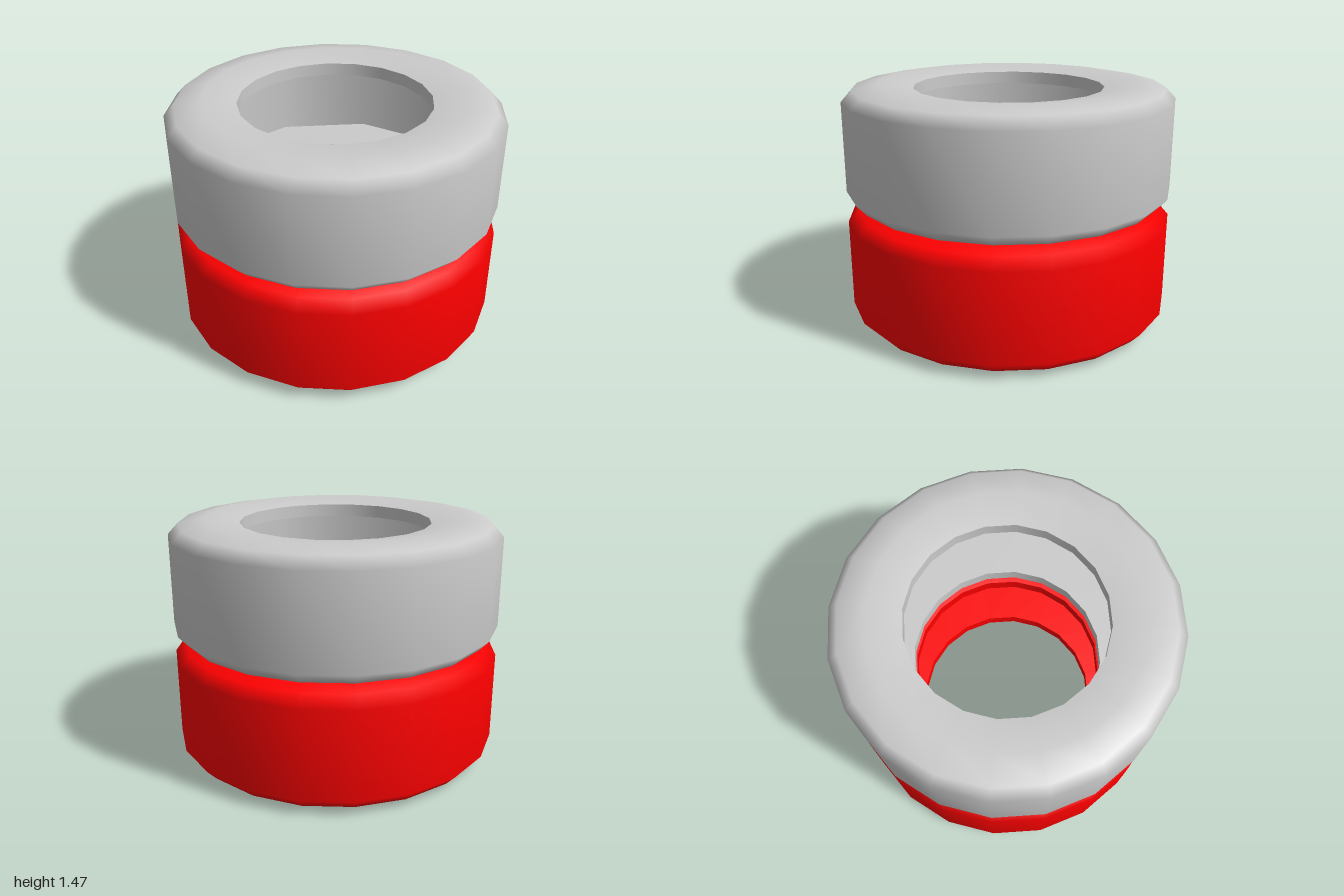
import * as THREE from 'three';

const SEGMENTS = 20;
const HEIGHT = 0.7325;   // height of one tyre
const BORE = 0.577;      // radius of the central hole
const CAVITY = 0.92;     // radius of the hollow inside
const RIM = 0.033;       // how far the bead is set in from the sidewall
const WALL = 0.11;       // depth of the bead and sidewall

function lathe(points, segments = SEGMENTS) {
  return new THREE.LatheGeometry(points.map(([r, y]) => new THREE.Vector2(r, y)), segments);
}

// Flat inner sidewall: 20 sides at the bore, 10 sides at the cavity wall
function innerSidewall(y, facesUp) {
  const ring = [[BORE, y], [CAVITY, y]];
  const geometry = lathe(facesUp ? ring : ring.reverse());
  const p = geometry.attributes.position;
  const chord = Math.cos(Math.PI / 10);
  for (let i = 0; i < p.count; i++) {
    const column = Math.floor(i / 2);
    const isOuter = Math.hypot(p.getX(i), p.getZ(i)) > 0.7;
    if (isOuter && column % 2) p.setXYZ(i, p.getX(i) * chord, y, p.getZ(i) * chord);
    geometry.attributes.normal.setXYZ(i, 0, facesUp ? 1 : -1, 0);
  }
  return geometry;
}

function createTyre(name, color) {
  const tyre = new THREE.Group();
  tyre.name = name;
  const material = new THREE.MeshStandardMaterial({ color, side: THREE.DoubleSide });
  const add = (part, geometry) => {
    const mesh = new THREE.Mesh(geometry, material);
    mesh.name = part;
    tyre.add(mesh);
  };

  // Tread with rounded shoulders and both sidewalls
  const half = [[BORE, RIM], [0.78, 0], [0.94, 0.03], [1, 0.095]];
  const mirrored = half.map(([r, y]) => [r, HEIGHT - y]).reverse();
  add('treadAndSidewalls', lathe([...half, ...mirrored]));

  // Beads around the hole
  add('upperBead', lathe([[BORE, HEIGHT - RIM], [BORE, HEIGHT - WALL]]));
  add('lowerBead', lathe([[BORE, WALL], [BORE, RIM]]));

  // Hollow inside
  add('innerCeiling', innerSidewall(HEIGHT - WALL, false));
  add('innerFloor', innerSidewall(WALL, true));
  add('innerWall', lathe([[CAVITY, HEIGHT - WALL], [CAVITY, WALL]], SEGMENTS / 2));
  return tyre;
}

export function createModel() {
  const model = new THREE.Group();
  model.name = 'tyreStack';
  const lower = createTyre('lowerTyre', 0xff0000);
  const upper = createTyre('upperTyre', 0xcccccc);
  upper.position.y = HEIGHT;
  model.add(lower, upper);
  return model;
}
